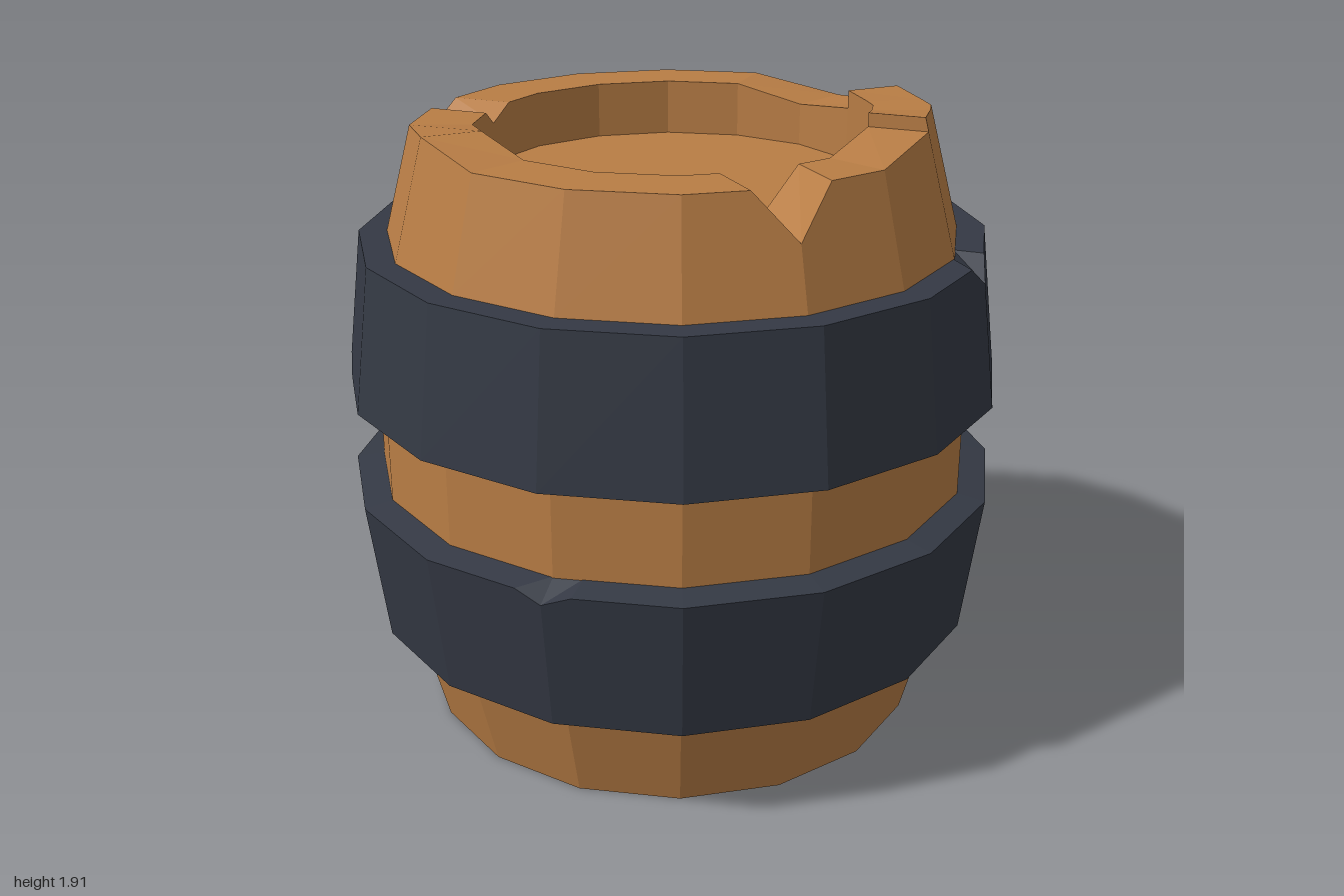
import * as THREE from 'three';

const SIDES = 16;
const STEP = (Math.PI * 2) / SIDES;
const lerp = THREE.MathUtils.lerp;

// Corner k of the 16-sided ring, shifted by w along the neighbouring flat side
function ringPoint(k, w, r, y) {
  const corner = (i) => new THREE.Vector3(Math.cos(i * STEP) * r, y, Math.sin(i * STEP) * r);
  const p = corner(k);
  if (w !== 0 && r > 0) {
    p.lerp(corner(k + Math.sign(w)), Math.abs(w) / (2 * r * Math.sin(STEP / 2)));
  }
  return p;
}

// Joins neighbouring columns of points with flat, unshared faces
function skin(columns, closed) {
  const pos = [];
  const ab = new THREE.Vector3(), ac = new THREE.Vector3();
  const tri = (a, b, c) => {
    if (ab.subVectors(b, a).cross(ac.subVectors(c, a)).length() < 1e-7) return;
    for (const p of [a, b, c]) pos.push(p.x, p.y, p.z);
  };
  columns.forEach((c, i) => {
    const d = columns[(i + 1) % columns.length];
    const rows = closed ? c.length : c.length - 1;
    for (let j = 0; j < rows; j++) {
      const n = (j + 1) % c.length;
      tri(c[j], c[n], d[j]);
      tri(d[j], c[n], d[n]);
    }
  });
  const geo = new THREE.BufferGeometry();
  geo.setAttribute('position', new THREE.Float32BufferAttribute(pos, 3));
  geo.computeVertexNormals();
  return geo;
}

// Wooden body: staves, rims and recessed lids in one skin
function bodyGeometry() {
  const H = 1.83;
  // rim heights per corner; two values make a broken step
  const rim = { 0: [1.82, 1.875], 1: [1.88], 2: [1.91, 1.87], 8: [1.865], 15: [1.79] };
  const topNotch = { 4: { w: 0.12, y: 1.69 }, 10: { w: 0.08, y: 1.76 } };
  const bottomNotch = { 1: { w: 0.065, y: 0.085 }, 11: { w: 0.065, y: 0.085 } };

  const column = (k, w, yb, yt) => [
    [0, 0.17], [0.59, 0.17], [0.59, yb],
    [lerp(0.775, 0.86, yb / 0.33), yb],
    [0.86, 0.33], [0.915, 0.77], [0.915, 1.06], [0.86, 1.51],
    [lerp(0.775, 0.86, (H - yt) / 0.32), yt],
    [0.59, yt < 1.78 ? yt + 0.02 : yt], [0.59, 1.66], [0, 1.66],
  ].map(([r, y]) => ringPoint(k, w, r, y));

  const columns = [];
  for (let k = 0; k < SIDES; k++) {
    const t = topNotch[k], b = bottomNotch[k];
    const notch = t || b;
    const heights = rim[k] || [H];
    if (notch) {
      columns.push(column(k, -notch.w, 0, heights[0]));
      columns.push(column(k, 0, b ? b.y : 0, t ? t.y : heights[0]));
      columns.push(column(k, notch.w, 0, heights[0]));
    } else {
      for (const y of heights) columns.push(column(k, 0, 0, y));
    }
  }
  return skin(columns, false);
}

// Iron hoop: outer and inner edges as [radius, height], with chipped corners
function hoopGeometry({ bottom, top, innerTop, innerBottom, topChips, bottomChips }) {
  const column = (k, w, cutBottom, cutTop) => {
    const outer = (y) => lerp(bottom[0], top[0], (y - bottom[1]) / (top[1] - bottom[1]));
    const y0 = bottom[1] + cutBottom, y1 = top[1] - cutTop;
    return [[outer(y0), y0], [outer(y1), y1], innerTop, innerBottom]
      .map(([r, y]) => ringPoint(k, w, r, y));
  };
  const columns = [];
  for (let k = 0; k < SIDES; k++) {
    const cutTop = topChips[k] || 0, cutBottom = bottomChips[k] || 0;
    const chipped = cutTop + cutBottom > 0;
    if (chipped) columns.push(column(k, -0.085, 0, 0));
    columns.push(column(k, 0, cutBottom, cutTop));
    if (chipped) columns.push(column(k, 0.085, 0, 0));
  }
  return skin(columns, true);
}

export function createModel() {
  const group = new THREE.Group();
  group.name = 'barrel';
  const wood = new THREE.MeshStandardMaterial({ color: 0xb87d45 });
  const iron = new THREE.MeshStandardMaterial({ color: 0x343944 });

  const add = (name, geometry, material) => {
    const mesh = new THREE.Mesh(geometry, material);
    mesh.name = name;
    group.add(mesh);
  };

  add('woodenBody', bodyGeometry(), wood);

  add('lowerHoop', hoopGeometry({
    bottom: [0.945, 0.33], top: [1, 0.765],
    innerTop: [0.91, 0.78], innerBottom: [0.855, 0.33],
    topChips: { 6: 0.03 }, bottomChips: { 14: 0.06 },
  }), iron);

  add('upperHoop', hoopGeometry({
    bottom: [1, 1.07], top: [0.945, 1.51],
    innerTop: [0.855, 1.51], innerBottom: [0.91, 1.055],
    topChips: { 2: 0.065, 13: 0.065 }, bottomChips: { 9: 0.05 },
  }), iron);

  return group;
}
